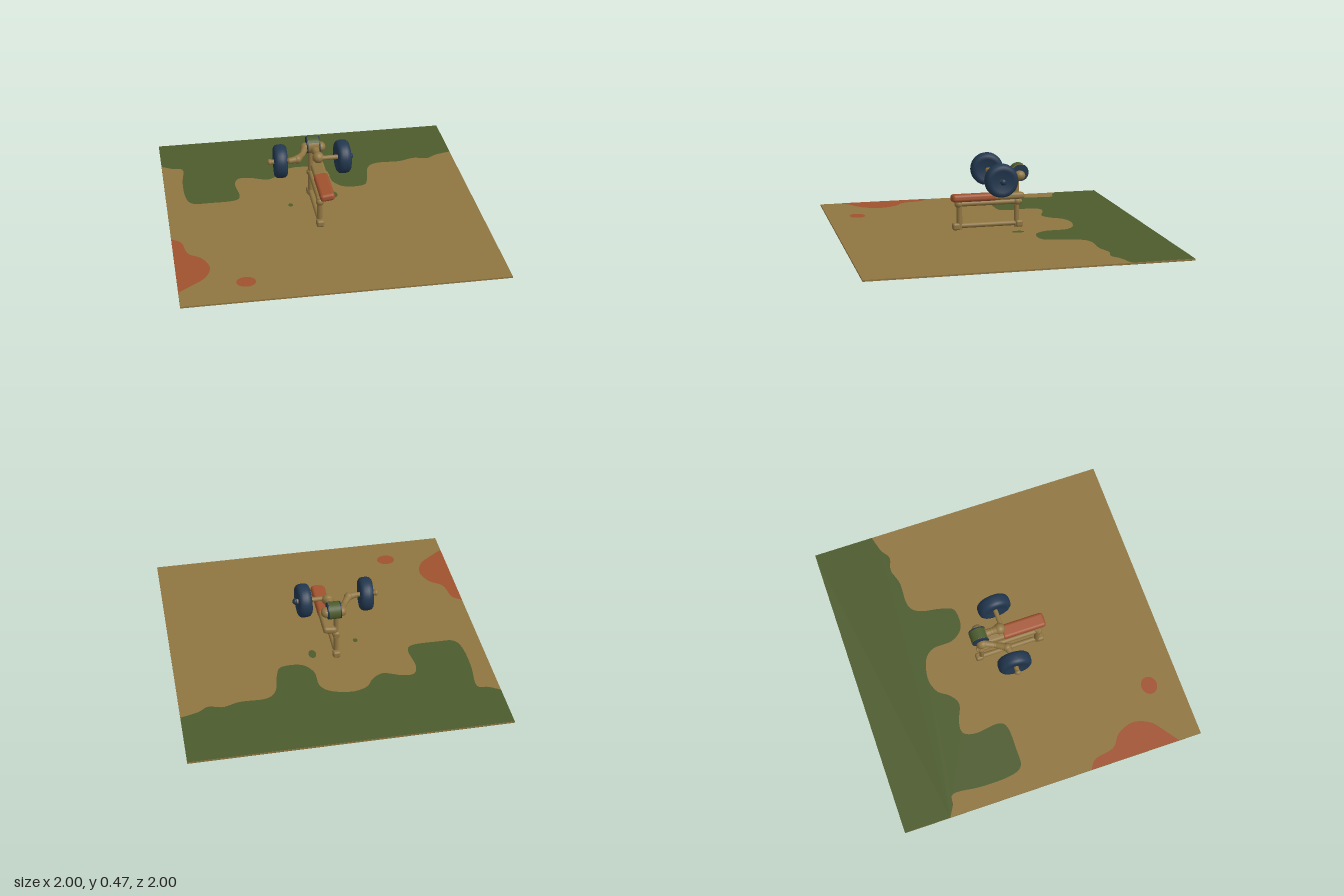
import * as THREE from 'three';
import { RoundedBoxGeometry } from 'three/addons/geometries/RoundedBoxGeometry.js';

const paint = (name, color) => Object.assign(new THREE.MeshStandardMaterial({ color }), { name });

export function createModel() {
  const model = new THREE.Group();
  model.name = 'weightBench';
  const tan = paint('tan', 0x8f7541);
  const green = paint('olive green', 0x4c5b2d);
  const rust = paint('rust', 0xa0522f);
  const navy = paint('navy', 0x22374f);

  const add = (name, geometry, material, parent = model) => {
    const mesh = new THREE.Mesh(geometry, material);
    mesh.name = name;
    parent.add(mesh);
    return mesh;
  };
  const ball = (name, p, r, material, scale = [1, 1, 1], parent = model) => {
    const mesh = add(name, new THREE.SphereGeometry(r, 20, 14), material, parent);
    mesh.position.set(...p);
    mesh.scale.set(...scale);
    return mesh;
  };
  // Round rod between two points
  const rod = (name, a, b, r1, r2 = r1, parent = model) => {
    const from = new THREE.Vector3(...a), to = new THREE.Vector3(...b);
    const dir = to.clone().sub(from);
    const mesh = add(name, new THREE.CylinderGeometry(r2, r1, dir.length(), 18), tan, parent);
    mesh.position.copy(from).addScaledVector(dir, 0.5);
    mesh.quaternion.setFromUnitVectors(new THREE.Vector3(0, 1, 0), dir.normalize());
    return mesh;
  };
  // Chain of rods with rounded joints; each point is x, y, z, radius
  const limb = (name, points) => {
    const group = new THREE.Group();
    group.name = name;
    points.forEach((p, i) => {
      ball(name + 'Joint', p.slice(0, 3), p[3], tan, [1, 1, 1], group);
      const q = points[i + 1];
      if (q) rod(name + 'Segment', p.slice(0, 3), q.slice(0, 3), p[3] * 0.9, q[3] * 0.9, group);
    });
    model.add(group);
  };

  // Ground slab
  add('ground', new THREE.BoxGeometry(2, 0.01, 2), tan).position.y = 0.006;

  // Flat ground patches, outlined by smooth curves through x, z points
  const patch = (name, points, material, { closed = false, corners = [], under = false } = {}) => {
    const pts = points.map(([x, z]) => new THREE.Vector2(x, under ? z : -z));
    if (closed) pts.push(pts[0].clone());
    const outline = new THREE.SplineCurve(pts).getPoints(points.length * 5);
    outline.forEach((p) => p.clampScalar(-1, 1));
    corners.forEach(([x, z]) => outline.push(new THREE.Vector2(x, under ? z : -z)));
    const geometry = new THREE.ShapeGeometry(new THREE.Shape(outline));
    geometry.rotateX(under ? Math.PI / 2 : -Math.PI / 2);
    add(name, geometry, material).position.y = under ? 0 : 0.012;
  };
  const oval = (x, z, rx, rz, turn = 0) => Array.from({ length: 10 }, (_, i) => {
    const a = (i / 10) * Math.PI * 2, u = Math.cos(a) * rx, v = Math.sin(a) * rz;
    return [x + u * Math.cos(turn) - v * Math.sin(turn), z + u * Math.sin(turn) + v * Math.cos(turn)];
  });
  const back = [[1, -1], [-1, -1]];
  patch('grass', [
    [-1, -0.7], [-0.93, -0.66], [-0.86, -0.63], [-0.875, -0.45], [-0.87, -0.26], [-0.83, -0.17],
    [-0.72, -0.16], [-0.56, -0.165], [-0.515, -0.22], [-0.53, -0.37], [-0.5, -0.45], [-0.42, -0.45],
    [-0.31, -0.41], [-0.235, -0.45], [-0.18, -0.52], [-0.08, -0.55], [0.05, -0.52], [0.11, -0.45],
    [0.12, -0.32], [0.19, -0.235], [0.32, -0.235], [0.36, -0.32], [0.39, -0.46], [0.46, -0.52],
    [0.62, -0.52], [0.73, -0.55], [0.82, -0.53], [0.89, -0.57], [1, -0.6],
  ], green, { corners: back });
  patch('rustPatch', [
    [-1, 0.25], [-0.94, 0.3], [-0.91, 0.43], [-0.83, 0.5], [-0.79, 0.61], [-0.83, 0.72], [-0.93, 0.8], [-1, 0.85],
  ], rust);
  patch('rustSpot', oval(-0.59, 0.8, 0.06, 0.052), rust, { closed: true });
  patch('grassSpot', oval(0.1, -0.14, 0.025, 0.04), green, { closed: true });
  patch('grassSpot', oval(-0.2, -0.05, 0.015, 0.02), green, { closed: true });

  // Patches on the underside
  patch('undersideGrass', [
    [-1, -0.72], [-0.79, -0.83], [-0.6, -0.75], [-0.35, -0.6], [-0.1, -0.58], [0.05, -0.72], [0.2, -0.6],
    [0.28, -0.41], [0.36, -0.5], [0.46, -0.74], [0.54, -0.5], [0.63, -0.18], [0.7, -0.3], [0.78, -0.5],
    [0.86, -0.46], [1, -0.51],
  ], green, { corners: [[1, -1], [-1, -1]], under: true });
  patch('undersideGrassSpot', oval(0.66, 0.18, 0.06, 0.24, 0.12), green, { closed: true, under: true });
  patch('undersideGrassSpot', oval(0.86, 0.2, 0.03, 0.14, 0.3), green, { closed: true, under: true });
  patch('undersideGrassSpot', oval(0.96, 0.83, 0.03, 0.07), green, { closed: true, under: true });
  patch('undersideRust', [
    [-1, -0.5], [-0.9, -0.35], [-0.78, -0.1], [-0.72, 0.13], [-0.8, 0.33], [-0.74, 0.5], [-0.65, 0.76],
    [-0.78, 0.88], [-1, 0.95],
  ], rust, { under: true });

  // Bench frame: two posts joined by a lower and an upper rail
  const fx = -0.05;
  rod('frontPost', [fx, 0.01, 0.213], [fx, 0.205, 0.213], 0.019);
  rod('rearPost', [fx, 0.01, -0.168], [fx, 0.33, -0.168], 0.016);
  rod('lowerRail', [fx, 0.036, 0.25], [fx, 0.036, -0.195], 0.016);
  rod('upperRail', [fx, 0.18, 0.225], [fx, 0.18, -0.2], 0.017);
  for (const z of [0.235, -0.185]) {
    const foot = add('foot', new RoundedBoxGeometry(0.05, 0.046, 0.05, 3, 0.014), tan);
    foot.position.set(fx, 0.033, z);
    ball('railJoint', [fx, 0.18, z * 0.93], 0.026, tan);
  }

  // Tilted bench pad, covered at the front and bare at the rear
  const pad = new THREE.Group();
  pad.name = 'benchPad';
  pad.position.set(-0.007, 0.229, 0);
  pad.rotation.z = 0.13;
  model.add(pad);
  add('padCover', new RoundedBoxGeometry(0.094, 0.05, 0.295, 4, 0.02), rust, pad).position.z = 0.127;
  add('padRear', new RoundedBoxGeometry(0.088, 0.044, 0.225, 4, 0.018), tan, pad).position.z = -0.09;

  // Round head piece with a green cap, navy side bands and shoulder knobs
  const head = new THREE.Group();
  head.name = 'head';
  head.position.set(-0.033, 0.378, -0.178);
  model.add(head);
  const drum = (name, r, w, material, x = 0, start = 0, sweep = Math.PI * 2) => {
    const mesh = add(name, new THREE.CylinderGeometry(r, r, w, 32, 1, false, start, sweep).rotateZ(Math.PI / 2), material, head);
    mesh.position.x = x;
  };
  drum('headCore', 0.053, 0.072, tan);
  const cap = new THREE.CylinderGeometry(0.057, 0.057, 0.068, 20, 1, true, 0, Math.PI);
  cap.rotateZ(Math.PI / 2).rotateX(-1.0 - Math.PI / 2);
  const capShell = add('greenCap', cap, green, head);
  // Turn the open shell so that its middle faces up and back
  const mid = new THREE.Vector3().fromBufferAttribute(cap.attributes.normal, 10);
  capShell.rotation.x = Math.atan2(-0.6, 0.8) - Math.atan2(mid.z, mid.y);
  green.side = THREE.DoubleSide;
  for (const s of [-1, 1]) {
    drum('sideBand', 0.054, 0.008, navy, s * 0.039);
    ball('shoulder', [s * 0.05, -0.015, 0.006], 0.036, tan, [0.9, 0.9, 1], head);
  }

  // Arms reaching forward to the bar
  limb('rightArm', [
    [-0.085, 0.365, -0.165, 0.028], [-0.115, 0.355, -0.095, 0.02], [-0.155, 0.36, -0.03, 0.028], [-0.205, 0.36, -0.018, 0.02],
  ]);
  limb('leftArm', [
    [-0.025, 0.36, -0.15, 0.036], [-0.022, 0.36, -0.09, 0.024], [-0.02, 0.358, -0.035, 0.037],
  ]);

  // Handle bars with rounded weight plates
  const profile = [
    [0.001, -0.03], [0.055, -0.032], [0.07, -0.043], [0.092, -0.041], [0.104, -0.03], [0.108, -0.012],
    [0.108, 0.012], [0.104, 0.03], [0.092, 0.041], [0.07, 0.043], [0.055, 0.032], [0.001, 0.03],
  ].map(([r, y]) => new THREE.Vector2(r, y));
  const weight = (name, x, outward, inner, tip) => {
    const plate = add(name + 'Plate', new THREE.LatheGeometry(profile, 40).rotateZ(Math.PI / 2), navy);
    plate.position.set(x, 0.361, -0.02);
    plate.rotation.y = outward < 0 ? -0.05 : 0.05;
    rod(name + 'Bar', [inner, 0.36, -0.02], [tip - outward * 0.012, 0.36, -0.02], 0.015);
    ball(name + 'BarEnd', [tip - outward * 0.016, 0.36, -0.02], 0.02, outward < 0 ? tan : navy, [0.8, 1, 1]);
  };
  weight('right', -0.268, -1, -0.17, -0.352);
  weight('left', 0.135, 1, 0.0, 0.205);

  return model;
}
